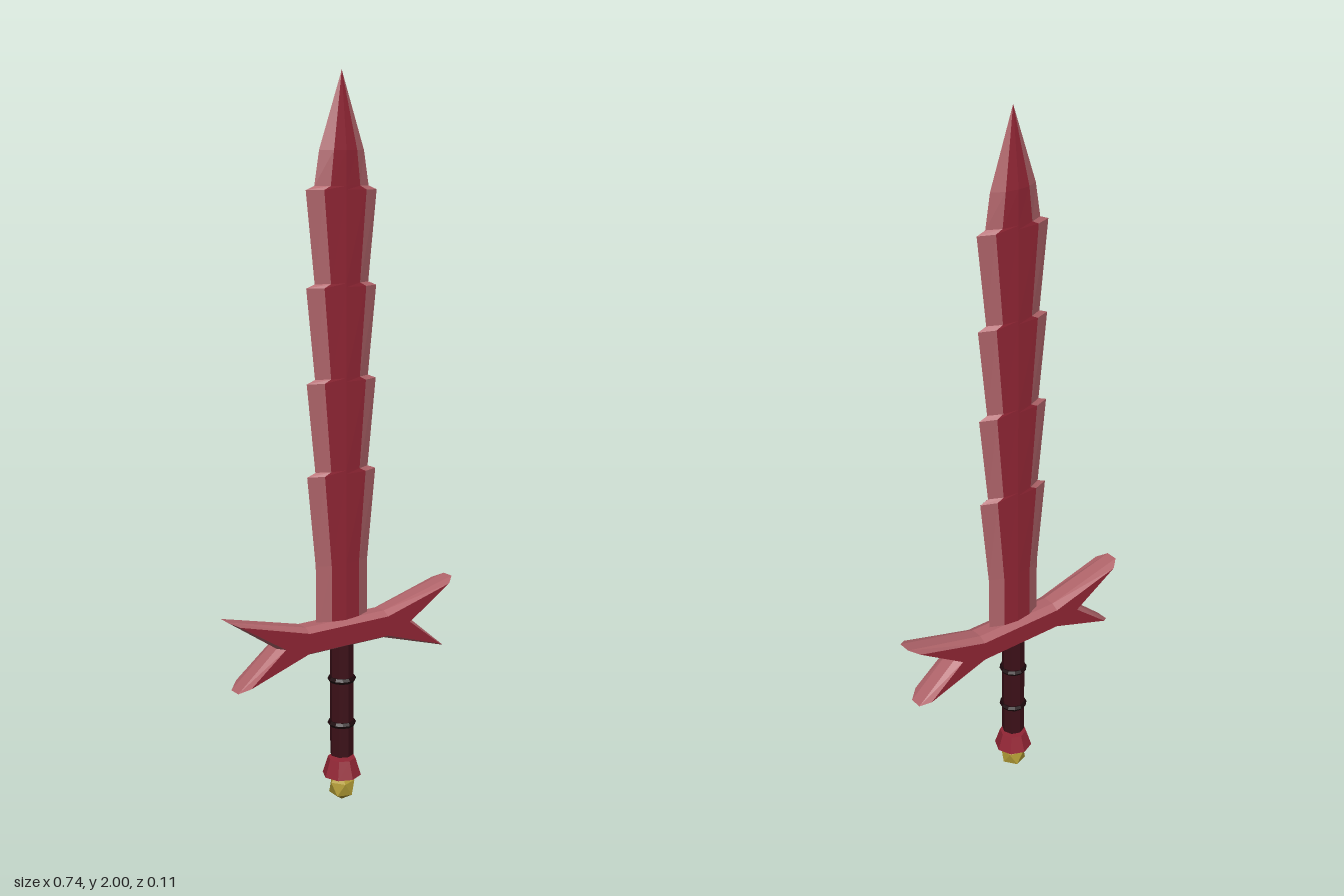
import * as THREE from 'three';

const material = (color) => new THREE.MeshStandardMaterial({ color, flatShading: true });
const red = material(0x922635);
const paleRed = material(0xb0646a);
const grip = material(0x3c1018);
const black = material(0x1c080c);
const gold = material(0xb09a35);

function addMesh(group, name, geometry, mat, y = 0) {
  const mesh = new THREE.Mesh(geometry, mat);
  mesh.name = name;
  mesh.position.y = y;
  group.add(mesh);
  return mesh;
}

// Flat-shaded geometry from a list of corner points, three per triangle
function fromTriangles(points) {
  const geometry = new THREE.BufferGeometry().setFromPoints(points);
  geometry.computeVertexNormals();
  return geometry;
}

// Blade: eight-sided sections stacked upwards, stepping inwards at each tooth
function addBlade(group) {
  const rows = [[0.5, 0.085, 0.045], [0.7, 0.085, 0.045]]; // y, half width, half core width
  for (const y of [0.95, 1.2, 1.45, 1.7]) {
    rows.push([y, 0.111, 0.066], [y + 0.01, 0.085, 0.046]);
  }
  rows.push([1.8, 0.07, 0.036], [2, 0, 0]);

  const sections = rows.map(([y, w, c]) => {
    const s = y === 2 ? 0 : 1;
    const side = 0.018 * s, ridge = 0.022 * s;
    return [[w, 0], [c, side], [0, ridge], [-c, side], [-w, 0], [-c, -side], [0, -ridge], [c, -side]]
      .map(([x, z]) => new THREE.Vector3(x, y, z));
  });

  const core = [], edges = [];
  for (let i = 0; i < sections.length - 1; i++) {
    for (let j = 0; j < 8; j++) {
      const k = (j + 1) % 8;
      const a = sections[i][j], b = sections[i][k];
      const d = sections[i + 1][j], c = sections[i + 1][k];
      const target = j % 4 === 1 || j % 4 === 2 ? core : edges;
      target.push(a, d, b, b, d, c);
    }
  }
  addMesh(group, 'bladeCore', fromTriangles(core), red);
  addMesh(group, 'bladeEdges', fromTriangles(edges), paleRed);
}

// Guard: forked bar with bevelled front and back rims
function addGuard(group) {
  const mirror = (half) => [...half, ...half.map(([x, y]) => [-x, y]).reverse()];
  const outer = mirror([[0.13, 0.463], [0.342, 0.398], [0.222, 0.5], [0.371, 0.602], [0.13, 0.542]]);
  const inner = mirror([[0.13, 0.474], [0.315, 0.413], [0.206, 0.5], [0.345, 0.589], [0.13, 0.53]]);
  const ring = (outline, z) => outline.map(([x, y]) => new THREE.Vector3(x, y, z));
  const rings = [ring(inner, -0.04), ring(outer, -0.018), ring(outer, 0.018), ring(inner, 0.04)];

  const rim = [];
  for (let i = 0; i < 3; i++) {
    for (let j = 0; j < outer.length; j++) {
      const k = (j + 1) % outer.length;
      const a = rings[i][j], b = rings[i][k], c = rings[i + 1][k], d = rings[i + 1][j];
      rim.push(a, b, d, b, c, d);
    }
  }
  const faces = [];
  const flat = inner.map(([x, y]) => new THREE.Vector2(x, y));
  for (const [a, b, c] of THREE.ShapeUtils.triangulateShape(flat, [])) {
    faces.push(rings[3][a], rings[3][b], rings[3][c], rings[0][a], rings[0][c], rings[0][b]);
  }
  addMesh(group, 'guardRim', fromTriangles(rim), paleRed);
  addMesh(group, 'guardFaces', fromTriangles(faces), red);
}

export function createModel() {
  const model = new THREE.Group();
  model.name = 'sword';
  addBlade(model);
  addGuard(model);

  // Handle with two binding rings
  addMesh(model, 'handle', new THREE.CylinderGeometry(0.033, 0.033, 0.34, 8), grip, 0.31);
  for (const y of [0.235, 0.365]) {
    const band = new THREE.TorusGeometry(0.031, 0.009, 6, 12).rotateX(Math.PI / 2);
    addMesh(model, 'handleRing', band, black, y);
  }

  // Flared pommel, set just below the handle, and its gem
  addMesh(model, 'pommel', new THREE.CylinderGeometry(0.039, 0.055, 0.05, 8), red, 0.105);
  const tilt = Math.atan(2 / (1 + Math.sqrt(5)));
  addMesh(model, 'pommelGem', new THREE.IcosahedronGeometry(0.04, 0).rotateZ(tilt), gold, 0.042);
  return model;
}
